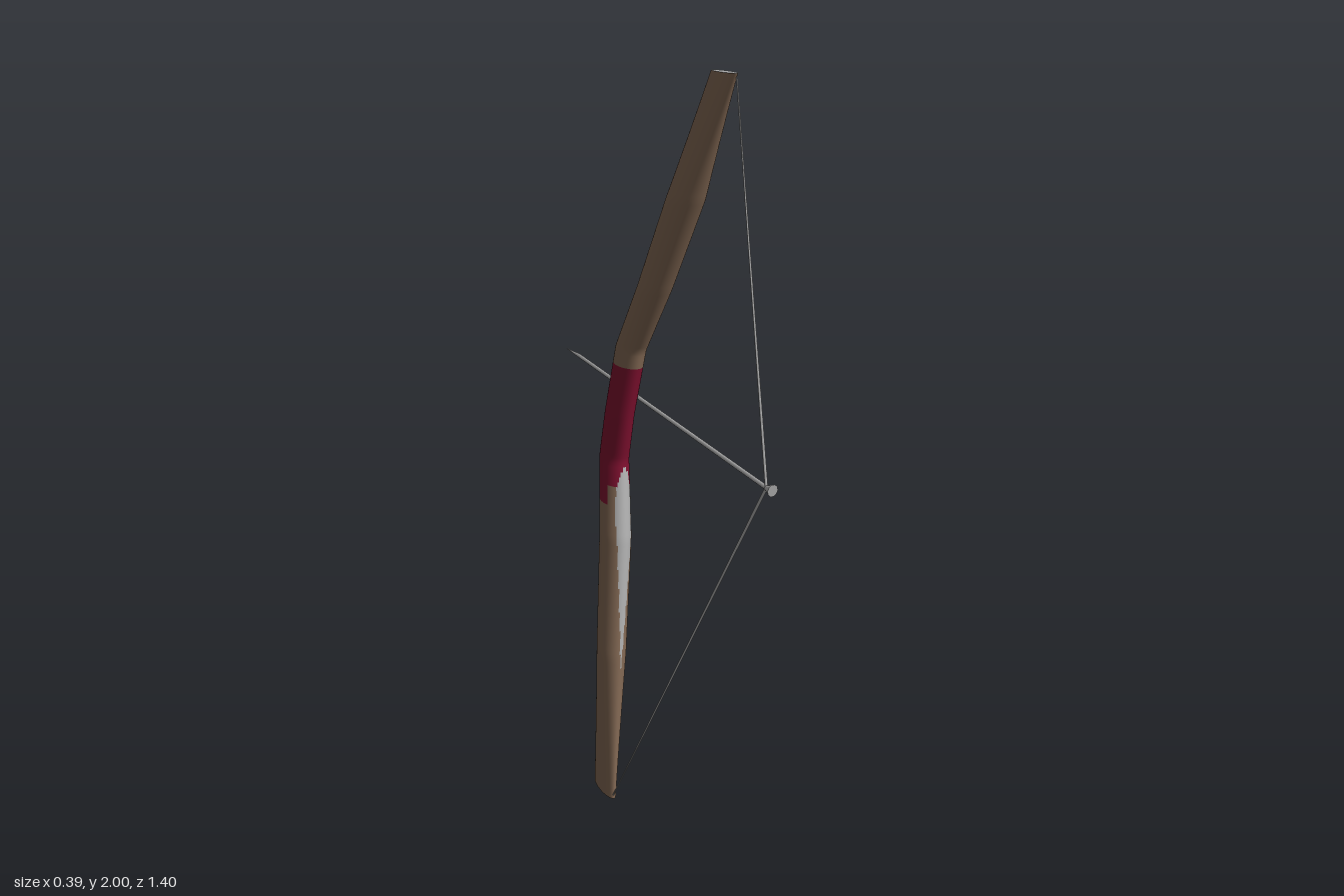
import * as THREE from 'three';

const wood = new THREE.MeshStandardMaterial({ color: 0x7d6450 });
wood.name = 'brown wood';
const wrap = new THREE.MeshStandardMaterial({ color: 0x780f2c });
wrap.name = 'maroon wrap';
const grey = new THREE.MeshStandardMaterial({ color: 0xa8a8a8 });
grey.name = 'light grey';

// Cross-sections, bottom to top: height, centre x, centre z, half depth, half thickness
const SECTIONS = [
  [0, -0.173, 0.188, 0.068, 0.018],
  [0.38, -0.13, 0.08, 0.062, 0.038],
  [0.69, -0.092, -0.038, 0.066, 0.042],
  [0.89, -0.072, -0.145, 0.066, 0.038],
  [1.02, -0.055, -0.146, 0.067, 0.037],
  [1.21, -0.02, -0.15, 0.07, 0.038],
  [1.4, 0.03, -0.065, 0.068, 0.045],
  [1.66, 0.095, 0.025, 0.074, 0.048],
  [2, 0.17, 0.125, 0.071, 0.018],
];
const TURN = 0.18; // the bow is turned slightly about the vertical
const SIDES = 64, ROWS = 160;

function sectionAt(y) {
  let i = 0;
  while (i < SECTIONS.length - 2 && y > SECTIONS[i + 1][0]) i++;
  const a = SECTIONS[i], b = SECTIONS[i + 1];
  const t = (y - a[0]) / (b[0] - a[0]);
  return a.map((v, k) => v + (b[k] - v) * t);
}

// Point on the bow; angle 0 is the front edge, 90 degrees the +x side
function bowPoint(y, angle) {
  const [, cx, cz, depth, thick] = sectionAt(y);
  const d = depth * Math.cos(angle), s = thick * Math.sin(angle);
  return [cx + d * Math.sin(TURN) + s * Math.cos(TURN), y,
    cz + d * Math.cos(TURN) - s * Math.sin(TURN)];
}

// Worn patches: angle, half width (degrees), blunt end height, widest height, pointed end height
const PATCHES = [
  [8, 42, 0.87, 0.76, 0.34],
  [108, 24, 0.86, 0.72, 0.37],
  [222, 24, 0.78, 0.72, 0.6],
  [92, 22, 1.12, 1.24, 1.54],
  [172, 38, 1.11, 1.2, 1.56],
];

function materialIndex(y, deg) {
  for (const [centre, half, blunt, wide, point] of PATCHES) {
    const toBlunt = (y - wide) / (blunt - wide), toPoint = (y - wide) / (point - wide);
    const t = Math.max(toBlunt, toPoint);
    if (t > 1) continue;
    const width = half * (toBlunt > 0 ? Math.sqrt(1 - t * t) : 1 - t);
    const off = Math.abs(((deg - centre + 540) % 360) - 180);
    if (off < width) return 2;
  }
  const low = deg < 60 || deg > 300 ? 0.82 : 0.77;
  const high = deg > 60 && deg < 105 ? 1.09 : deg >= 105 && deg < 200 ? 1.01 : 1.16;
  return y > low && y < high ? 1 : 0;
}

// Whole stave as one smooth loft, faces grouped by colour
function buildStave() {
  const positions = [], faces = [[], [], []];
  for (let j = 0; j <= ROWS; j++)
    for (let i = 0; i < SIDES; i++)
      positions.push(...bowPoint((2 * j) / ROWS, (i / SIDES) * Math.PI * 2));
  for (let j = 0; j < ROWS; j++)
    for (let i = 0; i < SIDES; i++) {
      const n = (i + 1) % SIDES;
      const a = j * SIDES + i, b = j * SIDES + n, c = b + SIDES, d = a + SIDES;
      const m = materialIndex((2 * (j + 0.5)) / ROWS, ((i + 0.5) * 360) / SIDES);
      faces[m].push(a, b, c, a, c, d);
    }
  const geo = new THREE.BufferGeometry();
  geo.setAttribute('position', new THREE.Float32BufferAttribute(positions, 3));
  geo.setIndex(faces.flat());
  let start = 0;
  faces.forEach((f, m) => { geo.addGroup(start, f.length, m); start += f.length; });
  geo.computeVertexNormals();
  const mesh = new THREE.Mesh(geo, [wood, wrap, grey]);
  mesh.name = 'stave';
  return mesh;
}

// Flat end of a limb
function buildCap(y, up, name) {
  const [, cx, cz] = sectionAt(y);
  const positions = [];
  for (let i = 0; i < SIDES; i++) {
    const p = bowPoint(y, (i / SIDES) * Math.PI * 2);
    const q = bowPoint(y, ((i + 1) / SIDES) * Math.PI * 2);
    positions.push(cx, y, cz, ...(up ? p : q), ...(up ? q : p));
  }
  const geo = new THREE.BufferGeometry();
  geo.setAttribute('position', new THREE.Float32BufferAttribute(positions, 3));
  geo.computeVertexNormals();
  const mesh = new THREE.Mesh(geo, grey);
  mesh.name = name;
  return mesh;
}

// Tapered rod between two points
function rod(name, from, to, r0, r1) {
  const dir = to.clone().sub(from);
  const mesh = new THREE.Mesh(new THREE.CylinderGeometry(r1, r0, dir.length(), 10), grey);
  mesh.position.copy(from).addScaledVector(dir, 0.5);
  mesh.quaternion.setFromUnitVectors(new THREE.Vector3(0, 1, 0), dir.normalize());
  mesh.name = name;
  return mesh;
}

export function createModel() {
  const model = new THREE.Group();
  model.name = 'bow and arrow';
  model.add(buildStave(), buildCap(2, true, 'upperTip'), buildCap(0, false, 'lowerTip'));

  // Drawn string
  const nock = new THREE.Vector3(0.138, 1.052, 0.675);
  const upper = new THREE.Vector3(0.184, 1.99, 0.194);
  const lower = new THREE.Vector3(-0.162, 0.01, 0.252);
  model.add(rod('upperString', nock, upper, 0.004, 0.002));
  model.add(rod('lowerString', nock, lower, 0.004, 0.002));

  // Arrow
  const neck = new THREE.Vector3(-0.09, 1.077, -0.6);
  const point = new THREE.Vector3(-0.115, 1.08, -0.695);
  const tail = new THREE.Vector3(0.147, 1.051, 0.698);
  const arrow = new THREE.Group();
  arrow.name = 'arrow';
  arrow.add(rod('shaft', nock, neck, 0.006, 0.006));
  arrow.add(rod('arrowPoint', neck, point, 0.006, 0.0005));
  arrow.add(rod('arrowNock', nock, tail, 0.006, 0.016));
  model.add(arrow);
  return model;
}
